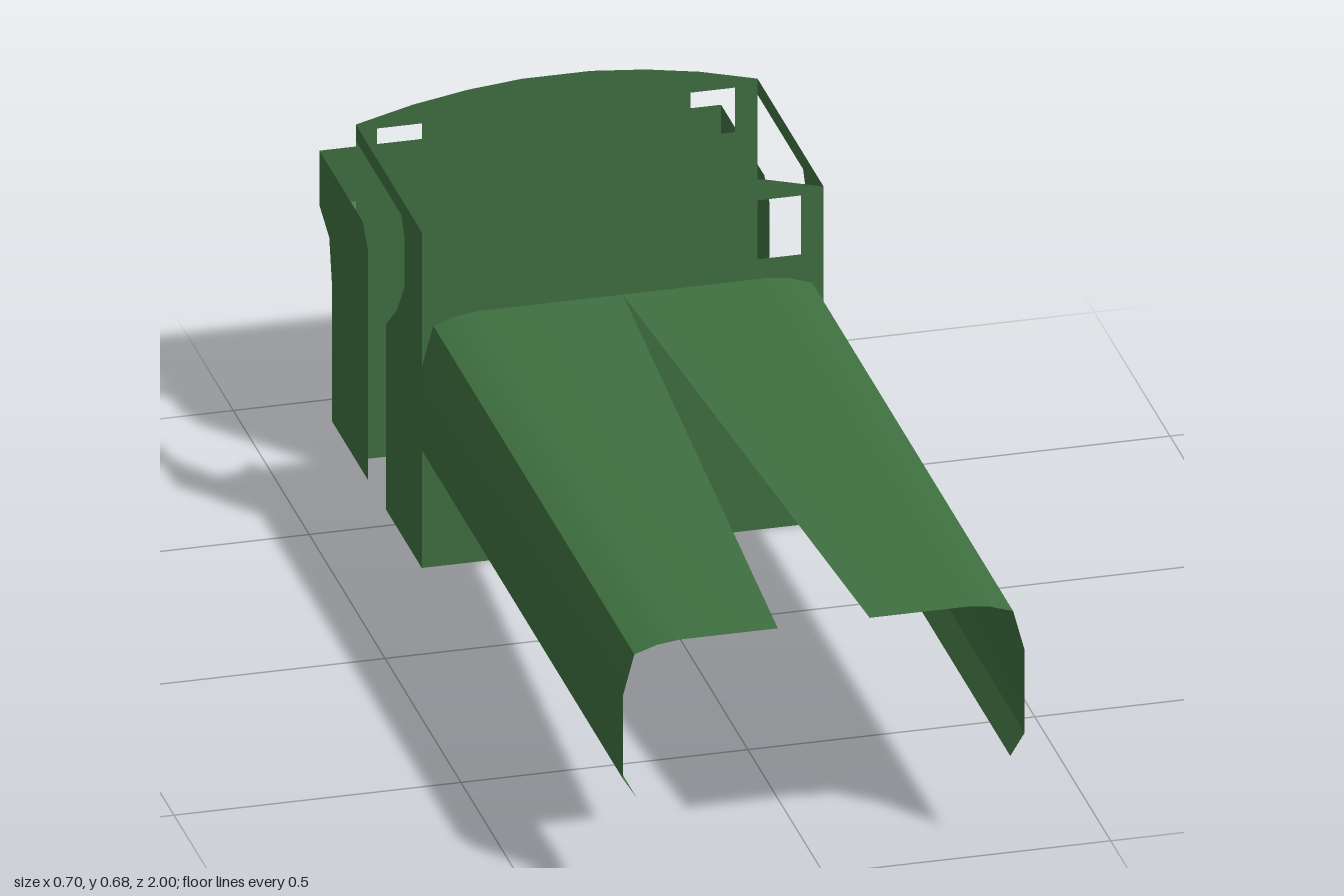
import * as THREE from 'three';
import { toCreasedNormals } from 'three/addons/utils/BufferGeometryUtils.js';

const HALF = 0.35;              // half width of the body
const FRONT_Z = -0.325;         // cab front wall
const REAR_Z = -0.76;           // cab rear wall

export function createModel() {
  const model = new THREE.Group();
  const green = new THREE.MeshStandardMaterial({ color: 0x3f7040, side: THREE.DoubleSide });

  const add = (name, geometry) => {
    const mesh = new THREE.Mesh(geometry, green);
    mesh.name = name;
    model.add(mesh);
    return mesh;
  };
  const toShape = pts => new THREE.Shape(pts.map(p => new THREE.Vector2(...p)));

  // Ruled sheet between two rows of points
  const sheet = (rowA, rowB) => {
    const g = new THREE.BufferGeometry();
    const n = rowA.length, index = [];
    for (let i = 0; i < n - 1; i++) index.push(i, n + i, n + i + 1, i, n + i + 1, i + 1);
    g.setAttribute('position', new THREE.Float32BufferAttribute([...rowA, ...rowB].flat(), 3));
    g.setIndex(index);
    return toCreasedNormals(g, 0.5);
  };

  // Cab end wall with arched top and two windows [x0, x1, y0, y1]
  const arch = [[0.35, 0.627], [0.25, 0.652], [0.155, 0.668], [0.06, 0.677]];
  const outline = [[-HALF, 0], [HALF, 0], ...arch,
    ...arch.map(([x, y]) => [-x, y]).reverse()];
  const endWall = (name, z, windows) => {
    const shape = toShape(outline);
    for (const [x0, x1, y0, y1] of windows)
      shape.holes.push(new THREE.Path([[x0, y0], [x0, y1], [x1, y1], [x1, y0]]
        .map(p => new THREE.Vector2(...p))));
    add(name, new THREE.ShapeGeometry(shape)).position.z = z;
  };
  endWall('cabFrontWall', FRONT_Z, [[-0.313, -0.203, 0.5, 0.615], [0.209, 0.311, 0.505, 0.615]]);
  endWall('cabRearWall', REAR_Z, [[-0.313, -0.235, 0.532, 0.615], [0.233, 0.311, 0.532, 0.615]]);

  // Side panels as (z, y) outlines
  const cabSide = [[FRONT_Z, 0], [FRONT_Z, 0.627], [REAR_Z, 0.627], [REAR_Z, 0.597],
    [-0.46, 0.597], [-0.44, 0.565], [-0.44, 0.47], [-0.49, 0.405], [-0.562, 0.345], [-0.562, 0]];
  const bunkerBack = [[-0.917, 0], [-0.917, 0.255], [-0.935, 0.335], [-1, 0.365], [-1, 0.467]];
  const bunkerSide = [[-0.68, 0], ...bunkerBack, [-0.715, 0.467], [-0.68, 0.43]];

  // Tank cross-section, from the crown to the curled lower edge
  const tank = [[0.25, 0.468], [0.29, 0.463], [0.33, 0.45], [0.35, 0.375], [0.35, 0.22], [0.325, 0.18]];

  for (const s of [1, -1]) {
    const side = s > 0 ? 'left' : 'right';
    const panel = (name, pts) => {
      const g = new THREE.ShapeGeometry(toShape(pts.map(([z, y]) => [-s * z, y])));
      add(name, g.rotateY(s * Math.PI / 2)).position.x = s * HALF;
    };
    panel(side + 'CabSide', cabSide);
    panel(side + 'BunkerSide', bunkerSide);

    // Tank skin whose inner edge tapers towards the cab
    const row = (z, inner) => [[inner, 0.468], ...tank].map(([x, y]) => [s * x, y, z]);
    const back = row(FRONT_Z, 0), front = row(1, 0.08);
    add(side + 'Tank', s > 0 ? sheet(back, front) : sheet(front, back));
  }

  // Flared rear sheet of the bunker
  const backRow = x => bunkerBack.map(([z, y]) => [x, y, z]);
  add('bunkerBack', sheet(backRow(HALF), backRow(-HALF)));

  return model;
}
